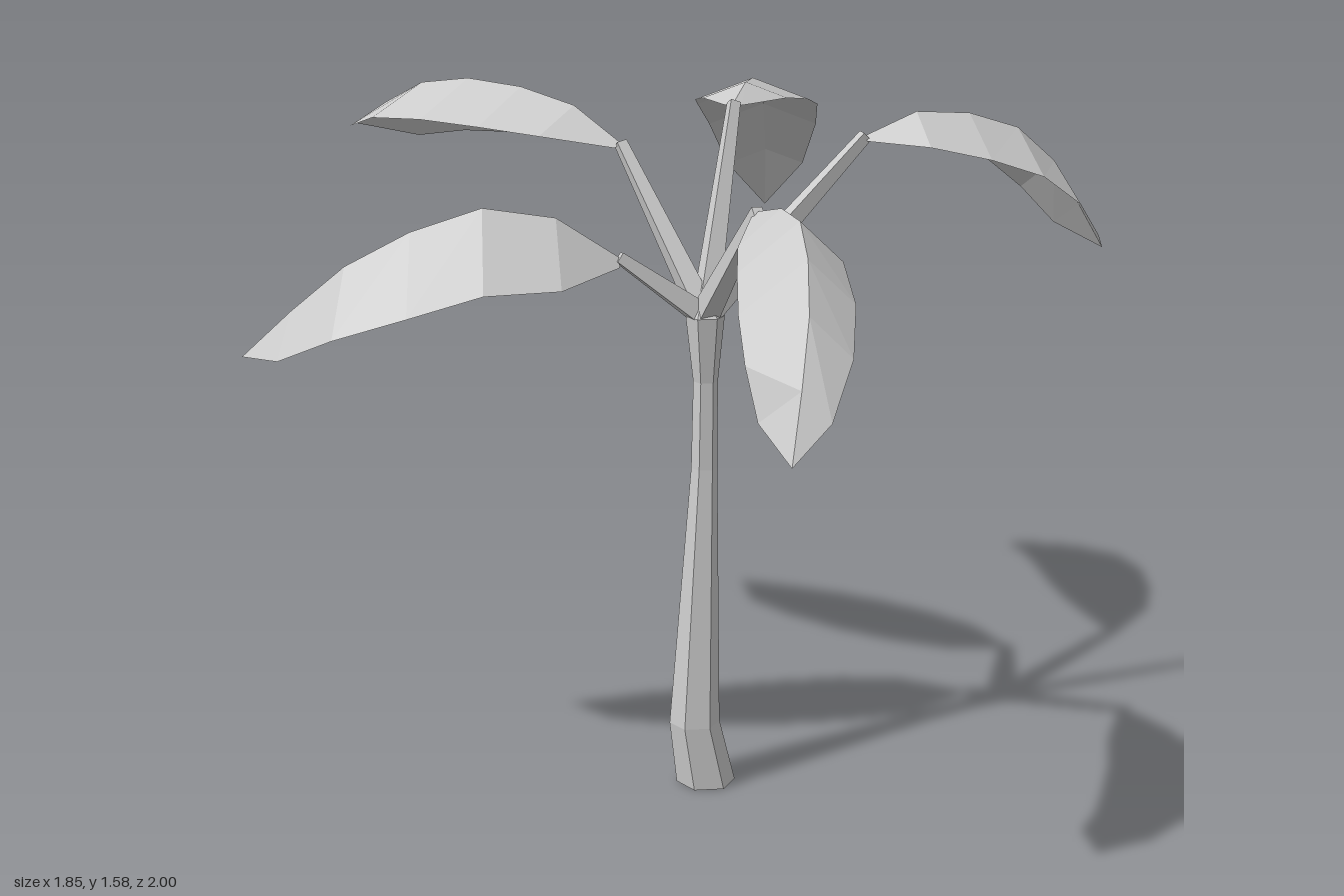
import * as THREE from 'three';

const material = new THREE.MeshStandardMaterial({ color: 0xcccccc, flatShading: true, side: THREE.DoubleSide });
const UP = new THREE.Vector3(0, 1, 0);
const SEGMENTS = 6;

function addMesh(parent, geometry, name) {
  const mesh = new THREE.Mesh(geometry, material);
  mesh.name = name;
  parent.add(mesh);
}

// Flat-shaded skin over rows of points with equal counts
function skin(rows) {
  const points = [];
  for (let i = 0; i < rows.length - 1; i++) {
    for (let j = 0; j < rows[i].length - 1; j++) {
      const [a, b, c, d] = [rows[i][j], rows[i + 1][j], rows[i + 1][j + 1], rows[i][j + 1]];
      points.push(a, b, c, a, c, d);
    }
  }
  const geometry = new THREE.BufferGeometry().setFromPoints(points);
  geometry.computeVertexNormals();
  return geometry;
}

// Six-sided trunk: each ring is centre x, y, z and radius
function trunkGeometry(rings) {
  return skin(rings.map(([x, y, z, r]) => Array.from({ length: 7 }, (_, j) => {
    const a = -j * Math.PI / 3;
    return new THREE.Vector3(x + r * Math.sin(a), y, z + r * Math.cos(a));
  })));
}

// Tapered four-sided stalk between two points
function stalkGeometry(from, to) {
  const dir = to.clone().sub(from);
  const geometry = new THREE.CylinderGeometry(0.017, 0.034, dir.length(), 4);
  geometry.applyQuaternion(new THREE.Quaternion().setFromUnitVectors(UP, dir.normalize()));
  const mid = from.clone().lerp(to, 0.5);
  return geometry.translate(mid.x, mid.y, mid.z);
}

// Blade folded along its midrib, with a rounded outline and lowered edges;
// a skew below 1 moves the widest place towards the stalk
function bladeGeometry(midrib, [leftWidth, rightWidth], [leftDrop, rightDrop], skew) {
  const rows = [];
  for (let i = 0; i <= SEGMENTS; i++) {
    const t = i / SEGMENTS;
    const rib = midrib.getPointAt(t);
    const side = UP.clone().cross(midrib.getTangentAt(t)).normalize();
    const outline = i === SEGMENTS ? 0 : Math.max(0.12, Math.sin(Math.PI * t ** skew) ** 0.6);
    const edge = (width, drop) => {
      const p = rib.clone().addScaledVector(side, width * outline);
      p.y -= drop * outline;
      return p;
    };
    rows.push([edge(-rightWidth, rightDrop), rib, edge(leftWidth, leftDrop)]);
  }
  return skin(rows);
}

export function createModel() {
  const palm = new THREE.Group();
  palm.name = 'palm';

  // Trunk, gently bent, open below and flaring at the crown
  addMesh(palm, trunkGeometry([
    [0.195, 0, 0.265, 0.068],
    [0.175, 0.15, 0.285, 0.058],
    [0.18, 0.75, 0.243, 0.03],
    [0.18, 0.95, 0.237, 0.028],
    [0.18, 1.1, 0.24, 0.044],
    [0.175, 1.16, 0.24, 0],
  ]), 'trunk');

  // Five leaves: midrib points, left and right half-widths, edge drops, skew
  const leaves = {
    backLeaf: [[[0.13, 1.54, -0.05], [0.09, 1.565, -0.22], [-0.05, 1.495, -0.69], [-0.105, 1.35, -0.87],
      [-0.155, 1.14, -1]], [0.155, 0.15], [0.06, 0.055], 1],
    rightLeaf: [[[-0.07, 1.46, 0.14], [-0.22, 1.54, 0.1], [-0.6, 1.57, 0.02], [-0.92, 1.43, -0.12]],
      [0.175, 0.15], [0.08, 0.145], 0.9],
    frontRightLeaf: [[[0.02, 1.24, 0.35], [-0.17, 1.36, 0.465], [-0.48, 1.25, 0.61], [-0.765, 1.01, 0.66]],
      [0.14, 0.14], [0.17, 0.12], 0.75],
    frontLeftLeaf: [[[0.37, 1.375, 0.41], [0.53, 1.41, 0.61], [0.65, 1.28, 0.86], [0.67, 1, 1]],
      [0.095, 0.135], [0.09, 0.11], 0.95],
    backLeftLeaf: [[[0.47, 1.49, 0.01], [0.56, 1.54, -0.05], [0.775, 1.48, -0.24], [0.92, 1.2, -0.4]],
      [0.155, 0.13], [0.09, 0.095], 0.9],
  };
  const crown = new THREE.Vector3(0.178, 1.1, 0.24);
  for (const [name, [path, widths, drops, skew]] of Object.entries(leaves)) {
    const leaf = new THREE.Group();
    leaf.name = name;
    const points = path.map((p) => new THREE.Vector3(...p));
    addMesh(leaf, stalkGeometry(crown, points[0]), 'stalk');
    addMesh(leaf, bladeGeometry(new THREE.CatmullRomCurve3(points), widths, drops, skew), 'blade');
    palm.add(leaf);
  }
  return palm;
}
